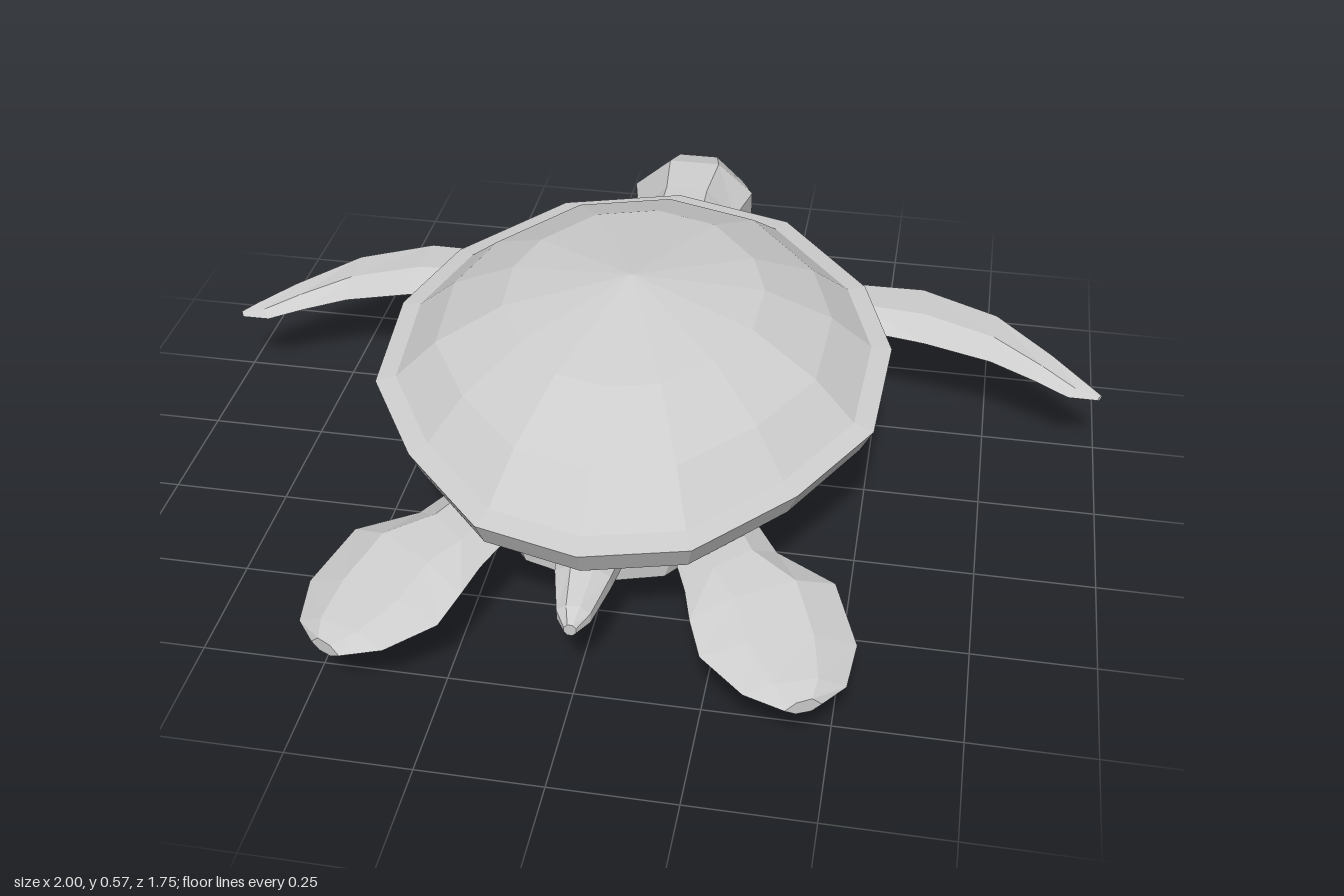
import * as THREE from 'three';

const skin = new THREE.MeshStandardMaterial({ color: 0xcccccc, flatShading: true });
skin.name = 'pale grey';

// Skin a list of equal-length rings, closing both ends with a fan
function loft(name, rings, startTip, endTip) {
  const n = rings[0].length;
  const centre = (r) => [0, 1, 2].map((k) => r.reduce((s, p) => s + p[k], 0) / n);
  const pts = [...rings.flat(), startTip || centre(rings[0]), endTip || centre(rings[rings.length - 1])];
  const start = pts.length - 2, end = pts.length - 1, last = (rings.length - 1) * n;
  const tris = [];
  for (let j = 0; j < n; j++) {
    const k = (j + 1) % n;
    for (let i = 0; i < rings.length - 1; i++) {
      const a = i * n + j, b = i * n + k;
      tris.push([a, b, b + n], [a, b + n, a + n]);
    }
    tris.push([start, k, j], [end, last + j, last + k]);
  }
  // Make the surface face outwards, whichever way the rings run
  const v = (i) => new THREE.Vector3(...pts[i]);
  let volume = 0;
  for (const [a, b, c] of tris) volume += v(a).dot(v(b).cross(v(c)));
  const index = tris.flatMap(([a, b, c]) => (volume < 0 ? [a, c, b] : [a, b, c]));
  const indexed = new THREE.BufferGeometry();
  indexed.setAttribute('position', new THREE.Float32BufferAttribute(pts.flat(), 3));
  indexed.setIndex(index);
  const geo = indexed.toNonIndexed();
  geo.computeVertexNormals();
  const mesh = new THREE.Mesh(geo, skin);
  mesh.name = name;
  return mesh;
}

// Half outline of the shell, nose end to tail end, then mirrored
const half = [[0, -0.52], [0.26, -0.45], [0.46, -0.23], [0.535, -0.02], [0.52, 0.25], [0.39, 0.46], [0.21, 0.64], [0, 0.69]];
const outline = [...half, ...half.slice(1, -1).reverse().map(([x, z]) => [-x, z])];
const CZ = 0.1;

function shellRing(scale, height) {
  return outline.map(([x, z]) => {
    const sz = CZ + (z - CZ) * scale;
    return [x * scale, height(sz), sz];
  });
}

function makeShell() {
  const rim = (z) => 0.36 - 0.1 * z;
  const under = (z) => 0.31 - 0.115 * z;
  return loft('shell', [
    shellRing(0.7, (z) => under(z) + 0.01),
    shellRing(0.95, under),
    shellRing(1, rim),
    shellRing(0.92, (z) => rim(z) + 0.008),
    shellRing(0.76, (z) => rim(z) + 0.085),
    shellRing(0.5, (z) => rim(z) + 0.16),
  ], null, [0, 0.568, 0.11]);
}

// Belly: the shell outline squeezed into narrower rings that taper down
function makeBelly() {
  const ring = (sx, sz, y) => outline.map(([x, z]) => [x * sx, y - 0.02 * z, 0.05 + (z - 0.085) * sz]);
  return loft('belly', [
    ring(0.8, 0.82, 0.285),
    ring(0.77, 0.86, 0.21),
    ring(0.67, 0.86, 0.145),
    ring(0.39, 0.44, 0.04),
  ], null, [0, 0, 0.05]);
}

// Head and neck, or tail: rounded sections [z, bottom, top, half width]
function tube(name, sections) {
  return loft(name, sections.map(([z, lo, hi, w]) => {
    const ring = [];
    for (let i = 0; i < 8; i++) {
      const a = (i + 0.5) * Math.PI / 4;
      ring.push([w * Math.cos(a) / 0.924, (lo + hi) / 2 + (hi - lo) / 2 * Math.sin(a) / 0.924, z]);
    }
    return ring;
  }));
}

// Flipper: sections [leading x, z, y, trailing x, z, y, thickness]
function flipper(name, sections, side) {
  return loft(name, sections.map(([lx, lz, ly, tx, tz, ty, t]) => {
    const at = (f, d) => [side * (lx + (tx - lx) * f), ly + (ty - ly) * f + d, lz + (tz - lz) * f];
    return [at(0, 0), at(0.28, t * 0.6), at(0.7, t * 0.5), at(1, 0), at(0.7, -t * 0.4), at(0.28, -t * 0.4)];
  }));
}

const frontSections = [
  [0.2, -0.4, 0.24, 0.28, -0.18, 0.24, 0.07],
  [0.38, -0.46, 0.23, 0.47, -0.27, 0.24, 0.08],
  [0.58, -0.505, 0.215, 0.6, -0.26, 0.23, 0.075],
  [0.76, -0.46, 0.195, 0.75, -0.25, 0.205, 0.06],
  [0.9, -0.325, 0.18, 0.85, -0.22, 0.185, 0.045],
  [0.975, -0.245, 0.17, 0.925, -0.19, 0.17, 0.03],
  [1, -0.215, 0.165, 0.99, -0.197, 0.165, 0.01],
];
const rearSections = [
  [0.3, 0.42, 0.22, 0.14, 0.5, 0.22, 0.05],
  [0.36, 0.51, 0.21, 0.2, 0.65, 0.205, 0.055],
  [0.48, 0.56, 0.19, 0.22, 0.72, 0.195, 0.055],
  [0.535, 0.69, 0.155, 0.25, 0.79, 0.17, 0.055],
  [0.525, 0.79, 0.14, 0.34, 0.855, 0.15, 0.045],
  [0.485, 0.84, 0.138, 0.42, 0.873, 0.14, 0.03],
];

export function createModel() {
  const turtle = new THREE.Group();
  turtle.name = 'seaTurtle';
  turtle.add(makeShell(), makeBelly());

  turtle.add(tube('headAndNeck', [
    [-0.3, 0.13, 0.34, 0.17],
    [-0.48, 0.145, 0.365, 0.125],
    [-0.62, 0.15, 0.375, 0.118],
    [-0.74, 0.138, 0.385, 0.145],
    [-0.81, 0.16, 0.368, 0.112],
    [-0.855, 0.185, 0.31, 0.06],
    [-0.88, 0.23, 0.28, 0.015],
  ]));
  turtle.add(tube('tail', [
    [0.45, 0.15, 0.24, 0.08],
    [0.64, 0.16, 0.23, 0.055],
    [0.73, 0.155, 0.205, 0.033],
    [0.762, 0.16, 0.185, 0.012],
  ]));

  for (const [label, side] of [['left', 1], ['right', -1]]) {
    turtle.add(flipper(label + 'FrontFlipper', frontSections, side));
    turtle.add(flipper(label + 'RearFlipper', rearSections, side));
  }
  return turtle;
}
